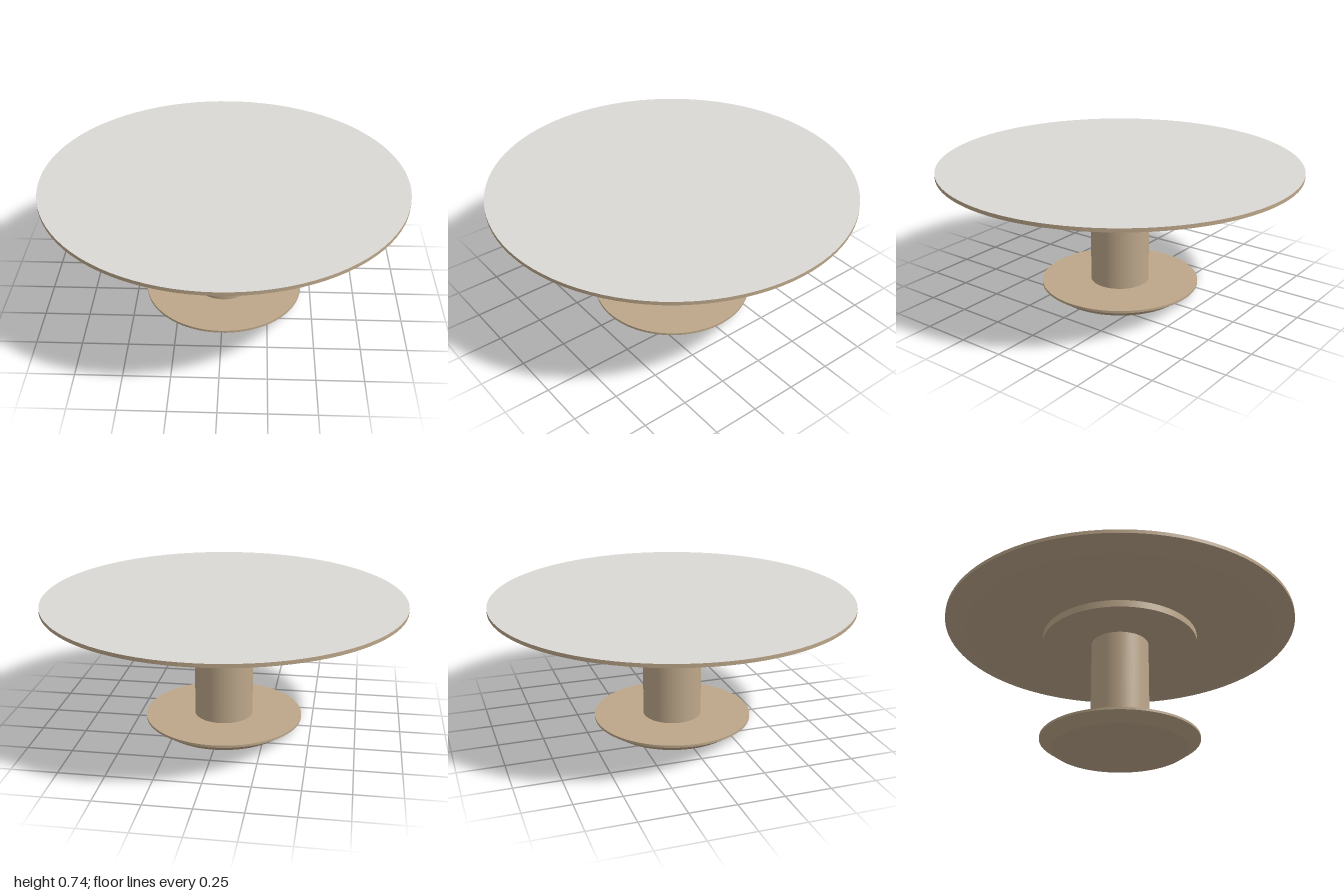
import * as THREE from 'three';

const SEGMENTS = 96;

export function createModel() {
  const wood = new THREE.MeshStandardMaterial({ color: 0xbda78a });
  wood.name = 'warm wood';
  const stone = new THREE.MeshStandardMaterial({ color: 0xdad9d5 });
  stone.name = 'pale grey top';

  const table = new THREE.Group();
  table.name = 'roundPedestalTable';

  // Upright round section between two heights; materials are side, top, bottom
  function disc(name, rTop, rBottom, yBottom, yTop, materials = wood, parent = table) {
    const geometry = new THREE.CylinderGeometry(rTop, rBottom, yTop - yBottom, SEGMENTS);
    const mesh = new THREE.Mesh(geometry, materials);
    mesh.name = name;
    mesh.position.y = (yTop + yBottom) / 2;
    parent.add(mesh);
  }

  // Slab with a straight rim above an undercut bevel
  function bevelledSlab(name, radius, innerRadius, yBottom, yRim, yTop, topMaterial) {
    const slab = new THREE.Group();
    slab.name = name;
    disc(name + 'Rim', radius, radius, yRim, yTop, [wood, topMaterial, wood], slab);
    disc(name + 'Bevel', radius, innerRadius, yBottom, yRim, wood, slab);
    table.add(slab);
  }

  bevelledSlab('base', 0.443, 0.375, 0, 0.047, 0.06, wood);
  disc('column', 0.164, 0.164, 0.06, 0.642);
  disc('supportPlate', 0.443, 0.443, 0.642, 0.682);
  bevelledSlab('tabletop', 1, 0.885, 0.682, 0.724, 0.744, stone);

  return table;
}
